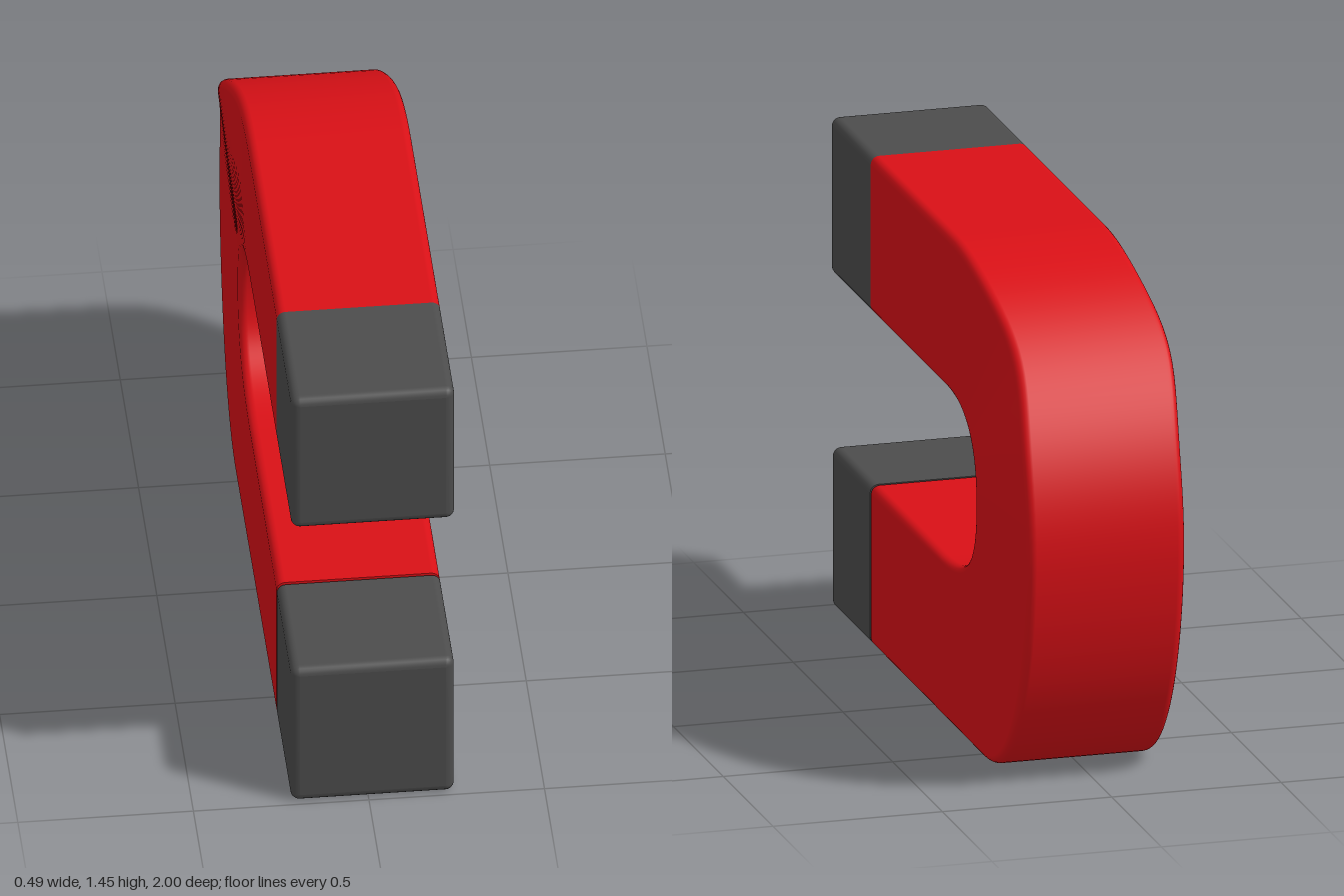
import * as THREE from 'three';

const X0 = -0.22, X1 = 0.245, R = 0.025, CORNER = 5;

// Rounded-rectangle ring spanning the inner to the outer edge point, across the width
function makeRing(inner, outer, inset = 0, r = R) {
  const dir = outer.clone().sub(inner);
  const h = dir.length();
  dir.normalize();
  const lo = inset, hi = h - inset, left = X0 + inset, right = X1 - inset;
  const corners = [[right - r, hi - r], [left + r, hi - r], [left + r, lo + r], [right - r, lo + r]];
  const ring = [];
  corners.forEach(([cx, cu], q) => {
    for (let k = 0; k <= CORNER; k++) {
      const a = (q + k / CORNER) * Math.PI / 2;
      const p = inner.clone().addScaledVector(dir, cu + r * Math.sin(a));
      p.x = cx + r * Math.cos(a);
      // Slight sideways lean of the upper bend
      p.x -= 0.028 * Math.exp(-(((p.z + 0.77) / 0.26) ** 2) - ((p.y - 1.27) / 0.22) ** 2);
      ring.push(p);
    }
  });
  return ring;
}

// Skin consecutive rings and close both ends with flat caps
function loft(rings) {
  const pos = [], idx = [], n = rings[0].length;
  const push = (p) => pos.push(p.x, p.y, p.z) / 3 - 1;
  rings.forEach((ring) => ring.forEach(push));
  for (let i = 0; i < rings.length - 1; i++) {
    for (let j = 0; j < n; j++) {
      const k = (j + 1) % n;
      const a = i * n + j, b = i * n + k, c = a + n, d = b + n;
      idx.push(a, c, b, b, c, d);
    }
  }
  for (const [ring, flip] of [[rings[0], false], [rings[rings.length - 1], true]]) {
    const centre = new THREE.Vector3();
    ring.forEach((p) => centre.addScaledVector(p, 1 / n));
    const c = push(centre);
    ring.forEach(push);
    for (let j = 0; j < n; j++) {
      const a = c + 1 + j, b = c + 1 + (j + 1) % n;
      idx.push(c, flip ? b : a, flip ? a : b);
    }
  }
  const geo = new THREE.BufferGeometry();
  geo.setAttribute('position', new THREE.Float32BufferAttribute(pos, 3));
  geo.setIndex(idx);
  geo.computeVertexNormals();
  return geo;
}

// Points along a chain of curves given as [z, y] pairs (two = line, four = bezier)
function trace(pieces) {
  const points = [];
  pieces.forEach((piece, i) => {
    const v = piece.map(([z, y]) => new THREE.Vector3(0, y, z));
    const curve = v.length === 2 ? new THREE.LineCurve3(...v) : new THREE.CubicBezierCurve3(...v);
    points.push(...curve.getPoints(v.length === 2 ? 10 : 28).slice(i ? 1 : 0));
  });
  return points;
}

// Pole tip with a softened front edge
function tipGeometry(y0, y1, front, back) {
  const ringAt = (z, inset, r) =>
    makeRing(new THREE.Vector3(0, y0, z), new THREE.Vector3(0, y1, z), inset, r);
  const rings = [];
  for (let k = 0; k <= 5; k++) {
    const a = (k / 5) * Math.PI / 2;
    rings.push(ringAt(front - R * (1 - Math.cos(a)), R * (1 - Math.sin(a)), Math.max(0.003, R * Math.sin(a))));
  }
  rings.push(ringAt(back, 0, R));
  return loft(rings);
}

export function createModel() {
  const group = new THREE.Group();
  const red = new THREE.MeshStandardMaterial({ color: 0xd91016 });
  const grey = new THREE.MeshStandardMaterial({ color: 0x4c4c4c });
  const add = (name, geo, mat) => {
    const mesh = new THREE.Mesh(geo, mat);
    mesh.name = name;
    group.add(mesh);
  };

  // Horseshoe body: matched outer and inner outlines
  const outer = trace([
    [[0.59, 1.455], [-0.2, 1.455]],
    [[-0.2, 1.455], [-0.64, 1.455], [-1, 1.13], [-1, 0.73]],
    [[-1, 0.73], [-1, 0.45], [-0.86, 0.005], [-0.55, 0.005]],
    [[-0.55, 0.005], [0.585, 0.005]],
  ]);
  const inner = trace([
    [[0.59, 0.99], [-0.15, 0.99]],
    [[-0.15, 0.99], [-0.36, 0.99], [-0.455, 0.9], [-0.455, 0.73]],
    [[-0.455, 0.73], [-0.455, 0.56], [-0.36, 0.48], [-0.1, 0.48]],
    [[-0.1, 0.48], [0.585, 0.48]],
  ]);
  add('horseshoeBody', loft(outer.map((o, i) => makeRing(inner[i], o))), red);

  // Pole tips
  add('upperTip', tipGeometry(0.99, 1.455, 1, 0.59), grey);
  add('lowerTip', tipGeometry(0.005, 0.48, 0.99, 0.595), grey);

  return group;
}
